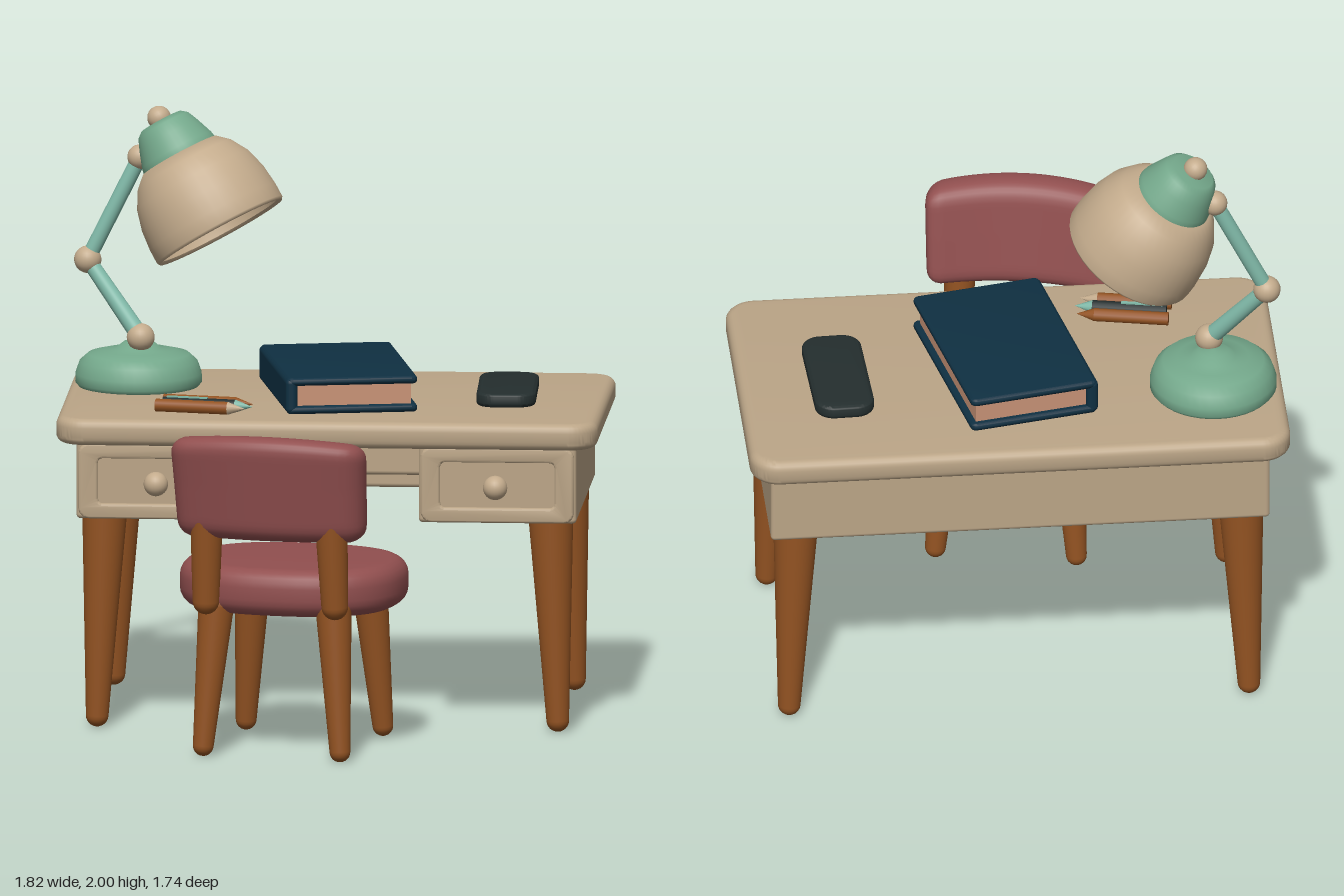
import * as THREE from 'three';
import { mergeVertices, toCreasedNormals } from 'three/addons/utils/BufferGeometryUtils.js';
import { RoundedBoxGeometry } from 'three/addons/geometries/RoundedBoxGeometry.js';

const paint = (name, color) => Object.assign(new THREE.MeshStandardMaterial({ color }), { name });
const beige = paint('beige', 0xbba587);
const cream = paint('cream', 0xc3ab8c);
const green = paint('sage green', 0x74a88b);
const mint = paint('mint', 0x80b9a8);
const red = paint('dusty red', 0x914f4f);
const wood = paint('brown wood', 0x935322);
const navy = paint('navy', 0x0f3042);
const paper = paint('paper', 0xc99377);
const dark = paint('charcoal', 0x242e2e);

const V = (x, y, z) => new THREE.Vector3(x, y, z);
const UP = V(0, 1, 0);

function add(parent, name, geo, mat, x = 0, y = 0, z = 0) {
  const m = new THREE.Mesh(geo, mat);
  m.name = name;
  m.position.set(x, y, z);
  parent.add(m);
  return m;
}

function group(parent, name, x = 0, y = 0, z = 0, turn = 0) {
  const g = new THREE.Group();
  g.name = name;
  g.position.set(x, y, z);
  g.rotation.y = turn;
  parent.add(g);
  return g;
}

const lathe = (pts) => new THREE.LatheGeometry(pts.map(([r, y]) => new THREE.Vector2(r, y)), 40);
const box = (w, h, d, r = 0.015) => new RoundedBoxGeometry(w, h, d, 3, r);
const ball = (r) => new THREE.SphereGeometry(r, 24, 16);

// Tapered round bar with domed ends, from a low point to a high point
function limb(parent, name, mat, low, high, rLow, rHigh) {
  const axis = high.clone().sub(low), len = axis.length(), pts = [];
  for (let i = 0; i <= 6; i++) {
    const t = (i / 6) * Math.PI / 2;
    pts.push([rLow * Math.sin(t), rLow * (1 - Math.cos(t))]);
  }
  for (let i = 0; i <= 6; i++) {
    const t = (i / 6) * Math.PI / 2;
    pts.push([rHigh * Math.cos(t), len - rHigh * (1 - Math.sin(t))]);
  }
  const m = add(parent, name, lathe(pts), mat, low.x, low.y, low.z);
  m.quaternion.setFromUnitVectors(UP, axis.normalize());
  return m;
}

function roundedRect(w, h, r, Type = THREE.Shape) {
  const s = new Type(), x = w / 2, y = h / 2, q = Math.PI / 2;
  s.absarc(x - r, y - r, r, 0, q);
  s.absarc(-x + r, y - r, r, q, 2 * q);
  s.absarc(-x + r, -y + r, r, 2 * q, 3 * q);
  s.absarc(x - r, -y + r, r, 3 * q, 4 * q);
  s.closePath();
  return s;
}

// Horizontal slab with a rounded rim, standing on y = 0
function slab(shape, h, b) {
  const g = new THREE.ExtrudeGeometry(shape, {
    depth: h - 2 * b, bevelSize: b, bevelThickness: b, bevelOffset: -b, bevelSegments: 5, curveSegments: 12,
  });
  g.rotateX(-Math.PI / 2).translate(0, b, 0);
  return toCreasedNormals(g, 0.7);
}

// Soft block: a fine box with rounded edges, then bent by a rule
function cushion(w, h, d, r, bend) {
  let g = new THREE.BoxGeometry(w, h, d, 28, 18, 8);
  g.deleteAttribute('uv');
  g.deleteAttribute('normal');
  g = mergeVertices(g);
  const p = g.attributes.position, v = V(), core = V();
  const max = V(w / 2 - r, h / 2 - r, d / 2 - r), min = max.clone().negate();
  for (let i = 0; i < p.count; i++) {
    v.fromBufferAttribute(p, i);
    core.copy(v).clamp(min, max);
    v.sub(core).setLength(r).add(core);
    bend(v);
    p.setXYZ(i, v.x, v.y, v.z);
  }
  g.computeVertexNormals();
  return g;
}

function buildDesk(root) {
  const desk = group(root, 'desk');
  add(desk, 'deskTop', slab(roundedRect(1.82, 1.07, 0.1), 0.09, 0.03), beige, 0, 0.975, -0.345);
  add(desk, 'backApron', box(1.68, 0.27, 0.26), beige, 0, 0.855, -0.68);
  add(desk, 'middlePanel', box(0.66, 0.12, 0.64), beige, 0, 0.93, -0.24);

  // Raised drawer frame around a sunken panel
  const frame = roundedRect(0.5, 0.24, 0.03);
  frame.holes.push(roundedRect(0.4, 0.17, 0.025, THREE.Path));
  const frameGeo = toCreasedNormals(new THREE.ExtrudeGeometry(frame, {
    depth: 0.012, bevelSize: 0.008, bevelThickness: 0.008, bevelSegments: 3,
  }), 0.7);

  for (const s of [-1, 1]) {
    add(desk, 'drawerBox', box(0.53, 0.27, 0.95), beige, s * 0.575, 0.855, -0.335);
    add(desk, 'drawerFrame', frameGeo, beige, s * 0.575, 0.852, 0.137);
    add(desk, 'drawerKnob', ball(0.041), cream, s * 0.57, 0.848, 0.178);
    for (const [zLow, zHigh] of [[0.08, 0.06], [-0.755, -0.72]])
      limb(desk, 'deskLeg', wood, V(s * 0.775, 0.005, zLow), V(s * 0.745, 0.86, zHigh), 0.038, 0.078);
  }
}

function buildChair(root) {
  const chair = group(root, 'chair', -0.0925, 0, 0.42, -0.2);
  const outline = [];
  for (let i = 0; i < 64; i++) {
    const a = (i / 64) * Math.PI * 2, c = Math.cos(a), s = Math.sin(a);
    outline.push(new THREE.Vector2(
      0.38 * Math.sign(c) * Math.abs(c) ** 0.84, 0.325 * Math.sign(s) * Math.abs(s) ** 0.84));
  }
  add(chair, 'seat', slab(new THREE.Shape(outline), 0.16, 0.06), red, 0, 0.488, -0.015);

  // Curved backrest, leaning away from the seat
  add(chair, 'backrest', cushion(0.66, 0.36, 0.13, 0.055, (v) => {
    const k = (v.x / 0.33) ** 2;
    v.z += 0.17 * v.y - 0.06 * k;
    if (v.y > 0) v.y -= 0.14 * k * v.y;
    v.x *= 1 + 0.12 * v.y;
  }), red, 0, 0.935, 0.345);

  for (const s of [-1, 1]) {
    limb(chair, 'backSupport', wood, V(s * 0.225, 0.49, 0.285), V(s * 0.215, 0.88, 0.31), 0.045, 0.055);
    for (const t of [-1, 1])
      limb(chair, 'chairLeg', wood, V(s * 0.24, 0.005, t * 0.275), V(s * 0.2, 0.57, t * 0.225), 0.035, 0.06);
  }
}

function buildLamp(root) {
  const lamp = group(root, 'lamp');
  add(lamp, 'lampBase', lathe([[0, 0], [0.2, 0], [0.213, 0.015], [0.212, 0.045], [0.198, 0.085],
    [0.17, 0.11], [0.12, 0.122], [0.075, 0.13], [0.05, 0.15], [0, 0.155]]), green, -0.675, 1.063, -0.52);

  const foot = V(-0.665, 1.235, -0.475), elbow = V(-0.85, 1.48, -0.58), wrist = V(-0.66, 1.86, -0.58);
  add(lamp, 'lowerJoint', ball(0.047), cream, ...foot);
  add(lamp, 'elbowJoint', ball(0.046), cream, ...elbow);
  add(lamp, 'wristJoint', ball(0.042), cream, -0.675, 1.83, -0.58);
  limb(lamp, 'lowerArm', mint, foot, elbow, 0.03, 0.026);
  limb(lamp, 'upperArm', mint, elbow, wrist, 0.026, 0.026);

  // Tilted head: local y runs from the opening up to the top ball
  const head = group(lamp, 'lampHead', -0.61, 1.965, -0.575);
  head.quaternion.setFromUnitVectors(UP, V(-0.215, 0.375, -0.085).normalize());
  add(head, 'topBall', ball(0.04), cream);
  add(head, 'shadeCap', lathe([[0, -0.18], [0.13, -0.175], [0.138, -0.16], [0.132, -0.125], [0.112, -0.07],
    [0.095, -0.03], [0.075, -0.014], [0, -0.01]]), green);
  add(head, 'shade', lathe([[0.222, -0.428], [0.232, -0.438], [0.239, -0.428], [0.239, -0.38], [0.232, -0.31],
    [0.213, -0.24], [0.178, -0.18], [0.14, -0.145], [0, -0.13], [0, -0.15], [0.125, -0.165], [0.165, -0.2],
    [0.198, -0.255], [0.216, -0.32], [0.223, -0.385], [0.222, -0.428]]), cream).material = cream;
  add(head, 'bulb', ball(0.1), cream, 0, -0.32, 0);
  add(head, 'bulbSocket', new THREE.CylinderGeometry(0.06, 0.06, 0.13, 24), cream, 0, -0.2, 0);
}

function buildDeskItems(root) {
  // Closed book with its spine on the model's right
  const book = group(root, 'book', 0.01, 1.065, -0.345, 0.2);
  const cover = slab(roundedRect(0.44, 0.7, 0.02), 0.026, 0.01);
  add(book, 'backCover', cover, navy, 0, 0, 0);
  add(book, 'frontCover', cover, navy, 0, 0.096, 0);
  add(book, 'pages', new THREE.BoxGeometry(0.39, 0.085, 0.655), paper, 0.005, 0.061, 0);
  add(book, 'spine', box(0.04, 0.12, 0.7, 0.018), navy, -0.205, 0.061, 0);

  // Flat handset
  const phone = group(root, 'phone', 0.575, 1.065, -0.375, 0.035);
  add(phone, 'phoneBody', slab(roundedRect(0.2, 0.47, 0.065), 0.046, 0.014), dark);

  // Three pencils lying side by side
  const pencils = group(root, 'pencils', -0.42, 1.085, -0.025, -0.2);
  const body = new THREE.CylinderGeometry(0.022, 0.022, 0.25, 12).rotateZ(-Math.PI / 2);
  const tip = new THREE.ConeGeometry(0.022, 0.06, 12).rotateZ(-Math.PI / 2);
  for (const [x, z, coat, point] of [[0, -0.05, wood, wood], [0.012, 0, dark, mint], [0, 0.05, wood, cream]]) {
    add(pencils, 'pencilBody', body, coat, x - 0.03, 0, z);
    add(pencils, 'pencilTip', tip, point, x + 0.125, 0, z);
  }
  add(pencils, 'pencilStripe', new THREE.BoxGeometry(0.14, 0.006, 0.012), mint, -0.06, 0.022, 0);
}

export function createModel() {
  const root = new THREE.Group();
  root.name = 'deskSet';
  buildDesk(root);
  buildChair(root);
  buildLamp(root);
  buildDeskItems(root);
  return root;
}
